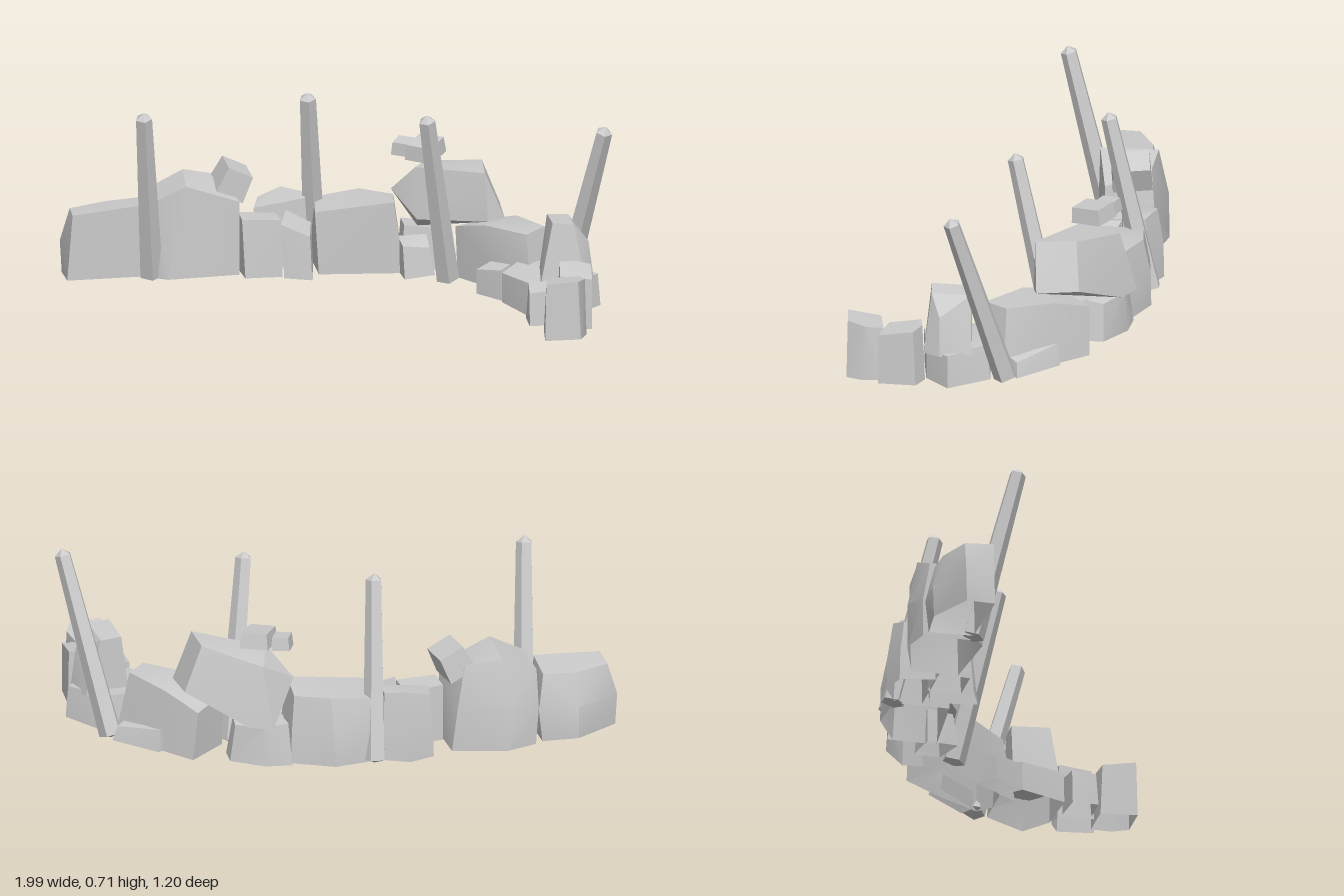
import * as THREE from 'three';
import { ConvexGeometry } from 'three/addons/geometries/ConvexGeometry.js';
import { toCreasedNormals } from 'three/addons/utils/BufferGeometryUtils.js';

const material = new THREE.MeshStandardMaterial({ color: 0xcccccc, side: THREE.DoubleSide });
const faceted = new THREE.MeshStandardMaterial({ color: 0xcccccc, flatShading: true });

// Removes the faces that rest on the ground
function openBottom(geometry, y0) {
  const p = geometry.attributes.position, kept = [];
  for (let i = 0; i < p.count; i += 3) {
    const corners = [i, i + 1, i + 2];
    if (corners.some((k) => p.getY(k) > y0 + 1e-4)) {
      corners.forEach((k) => kept.push(p.getX(k), p.getY(k), p.getZ(k)));
    }
  }
  return new THREE.BufferGeometry().setAttribute('position', new THREE.Float32BufferAttribute(kept, 3));
}

// Chipped stone: base outline [x, z] at height y0 and top corners [x, y, z].
// A bulge above 1 makes the back walls swell outwards at half height.
function stone(name, y0, base, top, bulge = 1) {
  const low = base.map(([x, z]) => new THREE.Vector3(x, y0, z));
  const high = top.map((p) => new THREE.Vector3(...p));
  const points = [...low, ...high];
  if (bulge > 1) {
    const centre = new THREE.Vector3();
    points.forEach((p) => centre.addScaledVector(p, 1 / points.length));
    low.forEach((p, i) => {
      const mid = p.clone().lerp(high[i], 0.5);
      if (mid.z > centre.z) return;
      mid.x = centre.x + (mid.x - centre.x) * bulge;
      mid.z = centre.z + (mid.z - centre.z) * (bulge + 0.1);
      points.push(mid);
    });
  }
  const hull = new ConvexGeometry(points);
  const mesh = new THREE.Mesh(toCreasedNormals(y0 < 0.1 ? openBottom(hull, y0) : hull, 0.5), material);
  mesh.name = name;
  return mesh;
}

// Small loose block, slightly narrower at the top, tilted as a whole
function block(name, size, position, rotation) {
  const geometry = new THREE.BoxGeometry(...size);
  const p = geometry.attributes.position;
  for (let i = 0; i < p.count; i++) {
    if (p.getY(i) > 0) p.setXYZ(i, p.getX(i) * 0.88, p.getY(i), p.getZ(i) * 0.92);
  }
  const mesh = new THREE.Mesh(geometry, faceted);
  mesh.name = name;
  mesh.position.set(...position);
  mesh.rotation.set(...rotation);
  return mesh;
}

// Tapered five-sided stake with a blunt point, leaning from foot to tip
function stake(name, foot, tip) {
  const a = new THREE.Vector3(...foot), b = new THREE.Vector3(...tip);
  const axis = b.clone().sub(a), length = axis.length();
  const profile = [[0, 0], [0.045, 0.012], [0.032, length - 0.024], [0, length]];
  const geometry = new THREE.LatheGeometry(profile.map(([r, y]) => new THREE.Vector2(r, y)), 5);
  const mesh = new THREE.Mesh(geometry, faceted);
  mesh.name = name;
  mesh.position.copy(a);
  mesh.quaternion.setFromUnitVectors(new THREE.Vector3(0, 1, 0), axis.normalize());
  return mesh;
}

export function createModel() {
  const group = new THREE.Group();
  group.name = 'stoneBarricade';

  // Straight wing of the wall, from its right end to the middle
  group.add(
    stone('endStone', 0.015,
      [[-0.985, -0.37], [-0.69, -0.38], [-0.68, -0.55], [-0.82, -0.565], [-0.99, -0.48]],
      [[-0.965, 0.27, -0.37], [-0.7, 0.295, -0.38], [-0.69, 0.28, -0.53], [-0.82, 0.27, -0.53], [-0.96, 0.265, -0.48]], 1.15),
    stone('tallStone', 0.015,
      [[-0.65, -0.35], [-0.61, -0.325], [-0.335, -0.35], [-0.33, -0.53], [-0.53, -0.595], [-0.65, -0.565]],
      [[-0.67, 0.31, -0.35], [-0.54, 0.375, -0.335], [-0.335, 0.3, -0.355], [-0.38, 0.355, -0.53], [-0.52, 0.375, -0.555], [-0.66, 0.31, -0.54]], 1.04),
    stone('squareStone', 0.015,
      [[-0.32, -0.3], [-0.18, -0.3], [-0.18, -0.43], [-0.33, -0.42]],
      [[-0.33, 0.24, -0.32], [-0.18, 0.235, -0.31], [-0.19, 0.23, -0.42], [-0.33, 0.24, -0.42]]),
    stone('frontStone', 0.025,
      [[-0.18, -0.25], [-0.08, -0.21], [-0.05, -0.39], [-0.15, -0.42]],
      [[-0.19, 0.23, -0.27], [-0.085, 0.19, -0.23], [-0.06, 0.2, -0.38], [-0.15, 0.24, -0.42]]),
    stone('backStone', 0.015,
      [[-0.28, -0.42], [-0.06, -0.42], [-0.06, -0.53], [-0.15, -0.58], [-0.25, -0.555]],
      [[-0.27, 0.25, -0.43], [-0.075, 0.28, -0.43], [-0.07, 0.28, -0.51], [-0.15, 0.29, -0.555], [-0.24, 0.26, -0.535]], 1.03),
    stone('middleStone', 0.015,
      [[-0.04, -0.31], [0.28, -0.28], [0.28, -0.45], [0.13, -0.535], [-0.04, -0.525]],
      [[-0.055, 0.26, -0.31], [0.24, 0.295, -0.28], [0.26, 0.28, -0.43], [0.14, 0.285, -0.505], [-0.03, 0.26, -0.505]], 1.02),
  );

  // Bend of the wall
  group.add(
    stone('bendStone', 0.015,
      [[0.28, -0.34], [0.48, -0.28], [0.49, -0.36], [0.38, -0.45], [0.28, -0.47]],
      [[0.29, 0.18, -0.36], [0.46, 0.17, -0.3], [0.47, 0.16, -0.36], [0.38, 0.17, -0.44], [0.29, 0.18, -0.45]]),
    stone('bendFootStone', 0.015,
      [[0.27, -0.2], [0.39, -0.24], [0.38, -0.34], [0.26, -0.32]],
      [[0.265, 0.14, -0.22], [0.37, 0.12, -0.25], [0.37, 0.15, -0.33], [0.26, 0.15, -0.32]]),
    stone('cappingStone', 0.175,
      [[0.34, -0.36], [0.36, -0.485], [0.44, -0.43]],
      [[0.24, 0.325, -0.36], [0.32, 0.43, -0.28], [0.38, 0.41, -0.42], [0.56, 0.45, -0.105], [0.57, 0.455, -0.26],
        [0.64, 0.28, -0.27], [0.635, 0.27, -0.11], [0.57, 0.26, -0.1], [0.32, 0.24, -0.23]]),
  );

  // Curved wing towards the front
  group.add(
    stone('longStone', 0.015,
      [[0.47, -0.2], [0.62, -0.31], [0.73, -0.15], [0.82, 0.01], [0.7, 0.13], [0.57, -0.06]],
      [[0.46, 0.22, -0.19], [0.6, 0.205, -0.31], [0.69, 0.255, -0.18], [0.77, 0.265, 0], [0.69, 0.26, 0.08], [0.55, 0.26, -0.06]]),
    stone('outerStone', 0.015,
      [[0.66, -0.17], [0.72, -0.2], [0.85, -0.04], [0.8, -0.01]],
      [[0.66, 0.08, -0.16], [0.71, 0.1, -0.19], [0.83, 0.07, -0.04], [0.79, 0.08, -0.01]]),
    stone('innerStone', 0.015,
      [[0.51, 0.01], [0.58, -0.04], [0.64, 0.06], [0.59, 0.11]],
      [[0.51, 0.11, 0.01], [0.57, 0.13, -0.02], [0.63, 0.14, 0.06], [0.59, 0.13, 0.1]]),
    stone('baseStone', 0.015,
      [[0.59, 0.13], [0.66, 0.06], [0.86, 0.06], [0.95, 0.22], [0.85, 0.3], [0.66, 0.31]],
      [[0.59, 0.13, 0.13], [0.66, 0.15, 0.06], [0.84, 0.15, 0.07], [0.94, 0.14, 0.22], [0.85, 0.14, 0.3], [0.67, 0.14, 0.31]]),
    stone('upperStone', 0.13,
      [[0.71, 0.305], [0.88, 0.31], [0.92, 0.25], [0.9, 0.13], [0.73, 0.13]],
      [[0.76, 0.365, 0.28], [0.84, 0.355, 0.28], [0.9, 0.28, 0.25], [0.84, 0.35, 0.13], [0.76, 0.355, 0.13]]),
    stone('smallStone', 0.015,
      [[0.65, 0.44], [0.77, 0.44], [0.77, 0.33], [0.65, 0.34]],
      [[0.65, 0.14, 0.43], [0.77, 0.15, 0.43], [0.76, 0.16, 0.33], [0.66, 0.15, 0.34]]),
    stone('wingStone', 0.005,
      [[0.76, 0.45], [0.88, 0.48], [0.9, 0.34], [0.84, 0.305], [0.77, 0.31]],
      [[0.765, 0.205, 0.44], [0.88, 0.2, 0.48], [0.895, 0.22, 0.35], [0.84, 0.225, 0.315], [0.78, 0.225, 0.32]]),
    stone('frontEndStone', 0.005,
      [[0.685, 0.6], [0.82, 0.6], [0.85, 0.54], [0.85, 0.46], [0.7, 0.46]],
      [[0.69, 0.225, 0.595], [0.81, 0.23, 0.595], [0.845, 0.22, 0.53], [0.835, 0.21, 0.46], [0.71, 0.21, 0.47]]),
  );

  // Loose blocks lying on top
  group.add(
    block('looseBlock', [0.115, 0.105, 0.15], [-0.35, 0.36, -0.455], [0.05, 0.05, -0.45]),
    block('topBlock', [0.11, 0.06, 0.13], [0.365, 0.49, -0.32], [0.15, -0.6, 0.05]),
    block('topChip', [0.07, 0.05, 0.08], [0.29, 0.485, -0.375], [0.1, -0.5, 0]),
  );

  // Leaning stakes
  [
    [[-0.665, 0.01, -0.38], [-0.72, 0.712, -0.21]],
    [[-0.025, 0.01, -0.53], [-0.075, 0.712, -0.37]],
    [[0.43, 0.01, -0.18], [0.325, 0.712, -0.025]],
    [[0.84, 0.01, 0], [0.97, 0.712, 0.21]],
  ].forEach(([foot, tip], i) => group.add(stake('stake' + (i + 1), foot, tip)));

  return group;
}
